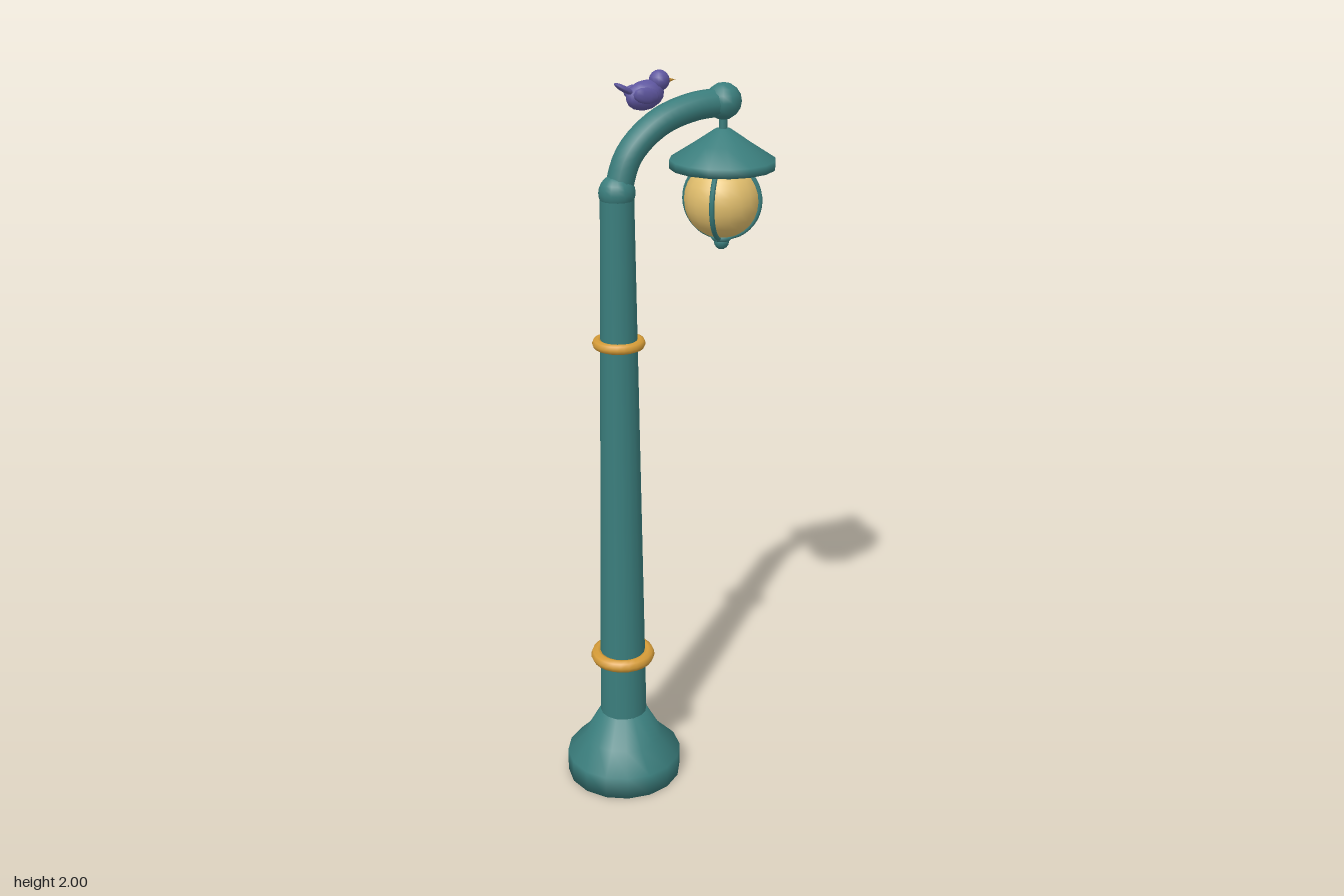
import * as THREE from 'three';

const paint = (name, color) => {
  const m = new THREE.MeshStandardMaterial({ color });
  m.name = name;
  return m;
};

export function createModel() {
  const teal = paint('teal', 0x3a7d7c);
  const gold = paint('gold', 0xd69c38);
  const glow = paint('warm glass', 0xe0bd6c);
  const violet = paint('violet', 0x5e569f);

  const model = new THREE.Group();
  model.name = 'streetLamp';
  const POLE_X = -0.14, LAMP_X = 0.164;

  const add = (parent, name, geometry, material, x = 0, y = 0, z = 0) => {
    const mesh = new THREE.Mesh(geometry, material);
    mesh.name = name;
    mesh.position.set(x, y, z);
    parent.add(mesh);
    return mesh;
  };
  const lathe = (points, sides = 16) =>
    new THREE.LatheGeometry(points.map(p => new THREE.Vector2(...p)), sides);
  const ball = (r, w = 16, h = 12) => new THREE.SphereGeometry(r, w, h);

  // Foot and tapered pole
  add(model, 'base', lathe([[0, 0], [0.163, 0], [0.163, 0.065], [0.11, 0.12], [0.066, 0.2], [0, 0.2]]), teal, POLE_X);
  add(model, 'pole', new THREE.CylinderGeometry(0.043, 0.066, 1.52, 16), teal, POLE_X, 0.95);
  add(model, 'poleJoint', ball(0.047), teal, POLE_X, 1.705);

  // Trim rings around the pole
  for (const [y, r, tube] of [[0.38, 0.072, 0.018], [1.31, 0.056, 0.014]]) {
    add(model, 'trimRing', new THREE.TorusGeometry(r, tube, 8, 24), gold, POLE_X, y).rotation.x = Math.PI / 2;
  }

  // Curved arm
  const armPath = new THREE.CatmullRomCurve3(
    [[-0.14, 1.7], [-0.105, 1.797], [-0.024, 1.868], [0.074, 1.9], [LAMP_X, 1.906]]
      .map(([x, y]) => new THREE.Vector3(x, y, 0)));
  add(model, 'arm', new THREE.TubeGeometry(armPath, 20, 0.036, 10), teal);
  add(model, 'armEnd', ball(0.047, 12, 8), teal, LAMP_X, 1.908);

  // Hanging lantern
  const lantern = new THREE.Group();
  lantern.name = 'lantern';
  lantern.position.set(LAMP_X, 1.655, 0);
  model.add(lantern);
  add(lantern, 'hanger', new THREE.CylinderGeometry(0.011, 0.011, 0.07, 8), teal, 0, 0.205);
  add(lantern, 'shade', lathe([[0, 0.083], [0.138, 0.083], [0.138, 0.106], [0.075, 0.146], [0.02, 0.183], [0, 0.185]]), teal);
  add(lantern, 'globe', ball(0.1, 20, 14), glow);
  add(lantern, 'globeCap', lathe([[0, -0.112], [0.024, -0.108], [0.034, -0.094], [0, -0.088]], 12), teal);
  add(lantern, 'finial', ball(0.02, 10, 8), teal, 0, -0.113);

  // Ribs hugging the globe on the diagonals
  const ribPath = new THREE.CatmullRomCurve3(Array.from({ length: 9 }, (_, i) => {
    const a = THREE.MathUtils.degToRad(-78 + i * 17);
    return new THREE.Vector3(Math.cos(a) * 0.101, Math.sin(a) * 0.101, 0);
  }));
  const ribGeometry = new THREE.TubeGeometry(ribPath, 16, 0.007, 6);
  for (let i = 0; i < 4; i++) {
    add(lantern, 'rib', ribGeometry, teal).rotation.y = Math.PI / 4 + i * Math.PI / 2;
  }

  // Perched bird, looking along the arm
  const bird = new THREE.Group();
  bird.name = 'bird';
  bird.position.set(-0.06, 1.94, 0);
  model.add(bird);
  const body = add(bird, 'body', ball(1, 12, 8), violet);
  body.scale.set(0.052, 0.036, 0.034);
  body.rotation.z = 0.2;
  add(bird, 'head', ball(0.026, 12, 8), violet, 0.04, 0.033);
  const beak = add(bird, 'beak', new THREE.ConeGeometry(0.008, 0.026, 6), gold, 0.072, 0.032);
  beak.rotation.z = -Math.PI / 2;
  const tail = add(bird, 'tail', ball(1, 8, 6), violet, -0.055, 0.018);
  tail.scale.set(0.034, 0.008, 0.017);
  tail.rotation.z = -0.5;
  for (const side of [-1, 1]) {
    const wing = add(bird, 'wing', ball(1, 10, 6), violet, -0.01, 0.003, side * 0.028);
    wing.scale.set(0.036, 0.02, 0.009);
    wing.rotation.z = -0.15;
  }

  return model;
}
